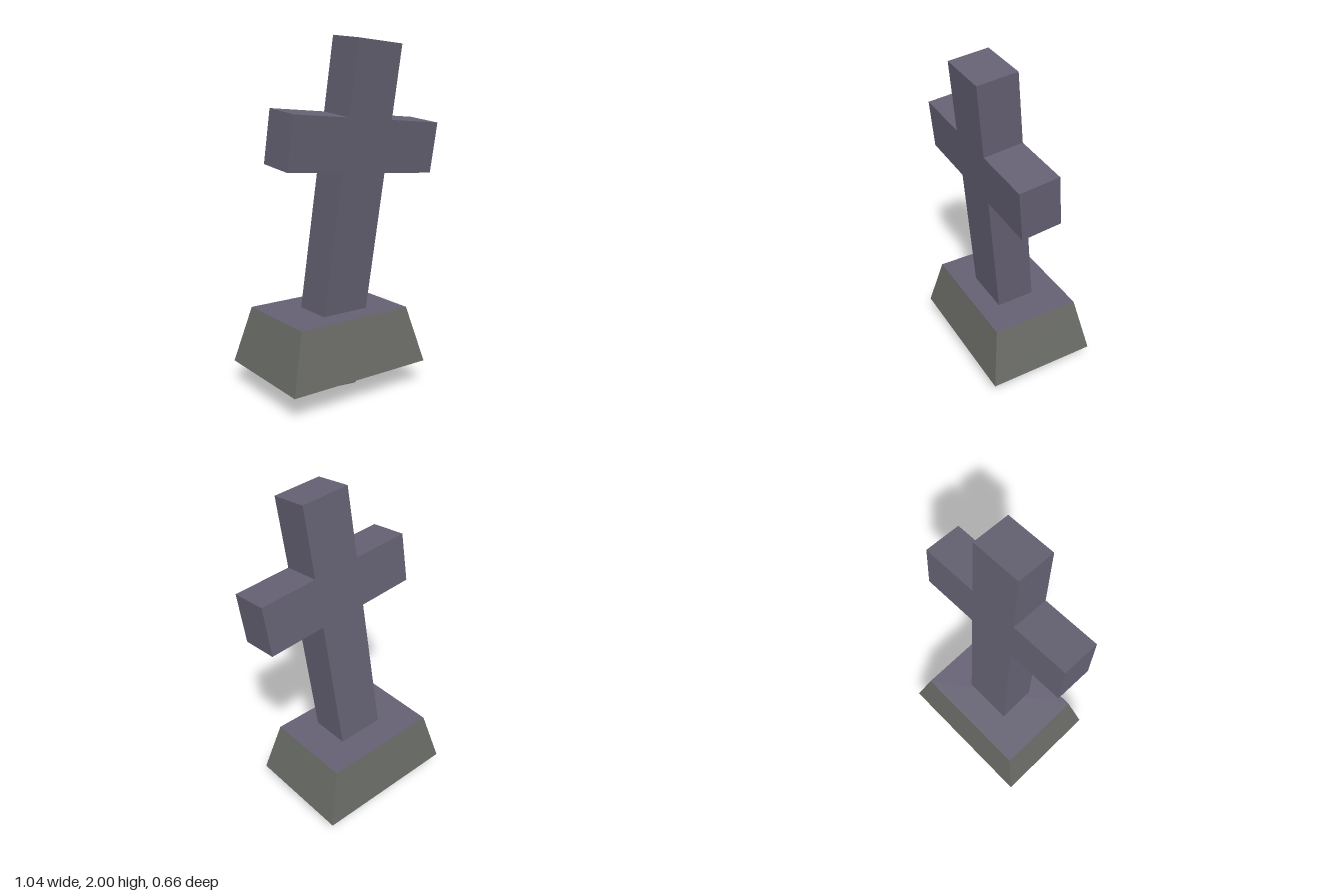
import * as THREE from 'three';

export function createModel() {
  const group = new THREE.Group();
  const stone = new THREE.MeshStandardMaterial({ color: 0x656173, flatShading: true, side: THREE.DoubleSide });
  stone.name = 'purple grey stone';
  const plinth = new THREE.MeshStandardMaterial({ color: 0x696b65, flatShading: true, side: THREE.DoubleSide });
  plinth.name = 'mossy grey stone';

  const add = (name, geometry, material, x, y, z) => {
    const mesh = new THREE.Mesh(geometry, material);
    mesh.name = name;
    mesh.position.set(x, y, z);
    group.add(mesh);
    return mesh;
  };

  // Leaning cross: one outline, extruded and centred on the shaft's middle
  const w = 0.147, h = 0.985, arm = 0.493, low = 0.283, high = 0.577, depth = 0.228;
  const half = [[w, -h], [w, low], [arm, low], [arm, high], [w, high], [w, h]];
  const outline = [...half, ...half.map(([x, y]) => [-x, y]).reverse()];
  const shape = new THREE.Shape(outline.map(([x, y]) => new THREE.Vector2(x, y)));
  const crossGeometry = new THREE.ExtrudeGeometry(shape, { depth, bevelEnabled: false });
  crossGeometry.translate(0, 0, -depth / 2);
  const cross = add('cross', crossGeometry, stone, -0.015, 1.0, 0.083);
  cross.rotation.set(0.109, 0, -0.0713);

  // Tapered base, hollow and open underneath
  const baseX = -0.068, bottom = 0.14, top = 0.468, taper = 0.805;
  const halfX = 0.45, halfZ = 0.328;
  const walls = new THREE.CylinderGeometry(
    Math.SQRT2 * taper, Math.SQRT2, top - bottom, 4, 1, true, Math.PI / 4);
  walls.scale(halfX, 1, halfZ);
  add('baseWalls', walls, plinth, baseX, (top + bottom) / 2, 0);

  // Flat top of the base
  const cap = new THREE.PlaneGeometry(2 * halfX * taper, 2 * halfZ * taper);
  cap.rotateX(-Math.PI / 2);
  add('baseTop', cap, stone, baseX, top, 0);

  return group;
}
